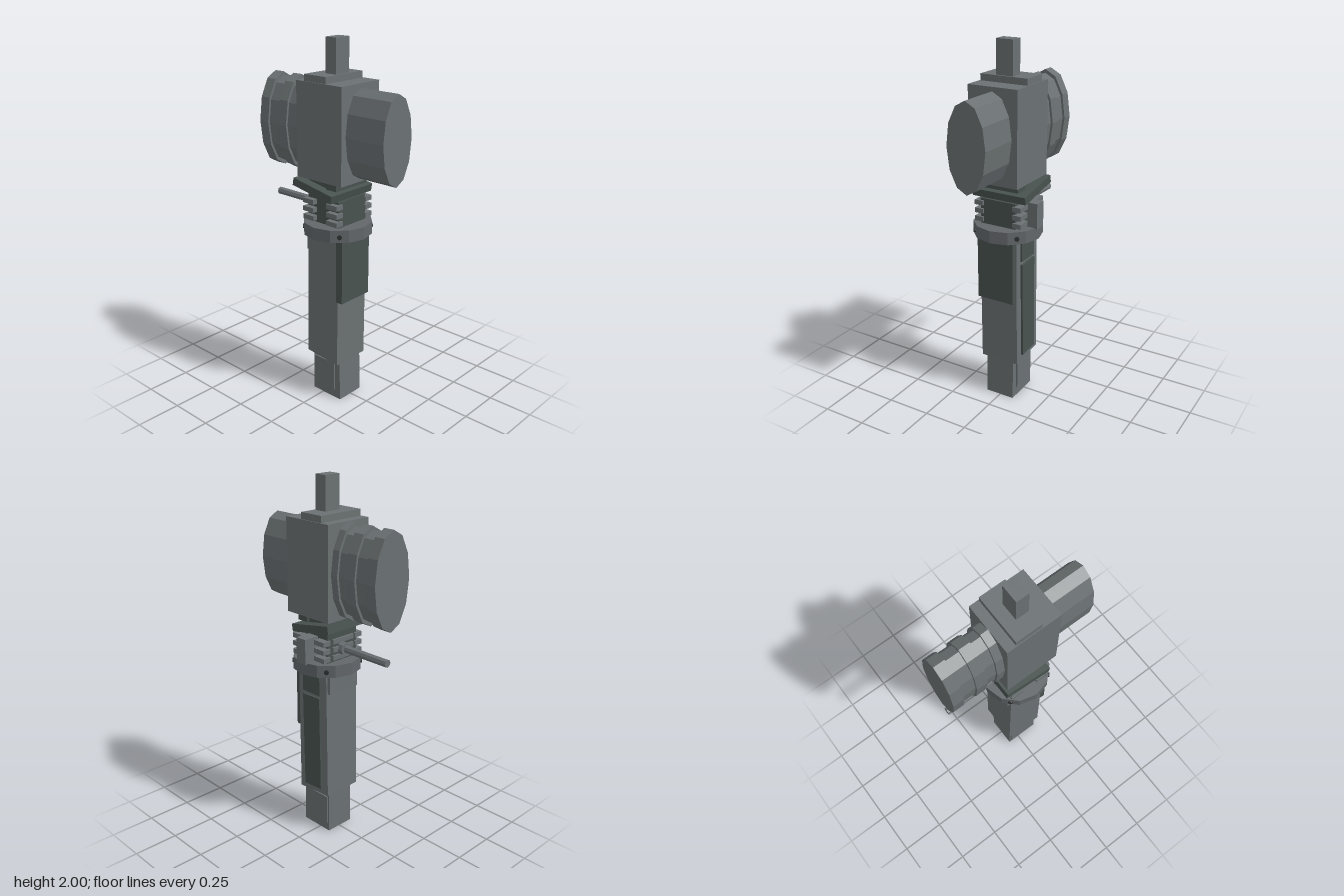
import * as THREE from 'three';

const mat = (name, color) => {
  const m = new THREE.MeshStandardMaterial({ color, flatShading: true });
  m.name = name;
  return m;
};

export function createModel() {
  const root = new THREE.Group();
  root.name = 'model';
  const steel = mat('steel grey', 0x6b7173);
  const dark = mat('dark green grey', 0x48524f);
  const ringGrey = mat('ring grey', 0x63676a);
  const black = mat('bolt black', 0x2c302f);

  const add = (name, geo, m) => {
    const mesh = new THREE.Mesh(geo, m);
    mesh.name = name;
    root.add(mesh);
    return mesh;
  };
  // box given by its extents on each axis
  const box = (name, m, x0, x1, y0, y1, z0, z1) => add(name,
    new THREE.BoxGeometry(x1 - x0, y1 - y0, z1 - z0)
      .translate((x0 + x1) / 2, (y0 + y1) / 2, (z0 + z1) / 2), m);
  // oval twelve-sided drum lying along z
  const drum = (name, rx, ry, z0, z1) => add(name,
    new THREE.CylinderGeometry(1, 1, z1 - z0, 12).rotateX(Math.PI / 2)
      .scale(rx, ry, 1).translate(-0.003, 1.53, (z0 + z1) / 2), steel);
  // side profile of [z, y] points extruded between x0 and x1
  const profile = (name, m, pts, x0, x1) => {
    const shape = new THREE.Shape(pts.map(p => new THREE.Vector2(...p)));
    return add(name, new THREE.ExtrudeGeometry(shape, { depth: x1 - x0, bevelEnabled: false })
      .rotateY(-Math.PI / 2).translate(x1, 0, 0), m);
  };

  // head block with cap and post
  box('headBlock', steel, -0.145, 0.14, 1.28, 1.785, -0.125, 0.183);
  box('headCap', steel, -0.14, 0.135, 1.785, 1.82, -0.072, 0.075);
  box('topPost', steel, -0.053, 0.045, 1.82, 2, -0.007, 0.064);

  // front drum, and rear drum with raised bands
  drum('frontDrum', 0.111, 0.233, 0.18, 0.422);
  drum('rearDrum', 0.111, 0.235, -0.4, -0.12);
  for (const [z0, z1] of [[-0.168, -0.12], [-0.287, -0.225], [-0.423, -0.361]])
    drum('rearBand', 0.123, 0.256, z0, z1);

  // neck with tilted plate
  box('neckCore', dark, -0.11, 0.1, 1.02, 1.18, -0.08, 0.135);
  box('upperNeck', dark, -0.11, 0.1, 1.17, 1.285, -0.08, 0.08);
  box('neckFrontBlock', dark, -0.125, 0.115, 1.24, 1.28, 0.06, 0.13);
  const plate = add('tiltedPlate', new THREE.BoxGeometry(0.322, 0.042, 0.275), dark);
  plate.position.set(-0.003, 1.228, -0.005);
  plate.rotation.x = 0.18;

  // cooling fins on both sides and the back of the neck
  for (const y of [1.065, 1.11, 1.155]) {
    for (const s of [-1, 1])
      for (const z of [0.11, -0.055])
        box('neckFin', steel, s * 0.115 - 0.025, s * 0.115 + 0.025, y - 0.013, y + 0.013, z - 0.037, z + 0.037);
    box('rearFin', steel, -0.08, 0.07, y - 0.013, y + 0.013, -0.092, -0.07);
  }
  box('sideBracket', steel, 0.1, 0.19, 1.035, 1.175, -0.005, 0.062);

  // rear lever with a small collar
  add('leverRod', new THREE.CylinderGeometry(0.021, 0.021, 0.34, 8).rotateX(Math.PI / 2)
    .translate(0, 1.107, -0.24), steel);
  add('leverCollar', new THREE.CylinderGeometry(0.036, 0.036, 0.035, 8).rotateX(Math.PI / 2)
    .translate(0, 1.107, -0.1), steel);

  // twelve-sided collar with four bolts
  add('collarRing', new THREE.CylinderGeometry(0.187, 0.187, 0.068, 12)
    .translate(-0.003, 1.006, 0.032), ringGrey);
  for (let i = 0; i < 4; i++) {
    const bolt = add('collarBolt', new THREE.CylinderGeometry(0.013, 0.013, 0.012, 8)
      .rotateX(Math.PI / 2).translate(0, 0, 0.182), black);
    bolt.position.set(-0.003, 1.003, 0.032);
    bolt.rotation.y = Math.PI / 4 + i * Math.PI / 2;
  }

  // grip with front cover, side panels and back plate
  profile('grip', steel, [[0.13, 0.23], [-0.09, 0.25], [-0.078, 0.98], [0.135, 0.98]], -0.115, 0.11);
  box('frontCover', dark, -0.115, 0.103, 0.615, 0.98, 0.12, 0.163);
  profile('sidePanel', dark, [[0.083, 0.27], [-0.045, 0.28], [-0.035, 0.83], [0.093, 0.825]], 0.1, 0.122);
  profile('upperSidePanel', dark, [[0.095, 0.845], [-0.036, 0.845], [-0.035, 0.97], [0.095, 0.97]], 0.1, 0.12);
  box('backPlate', steel, -0.105, 0.1, 0.865, 0.98, -0.097, -0.07);

  // lower insert, with its side rails
  profile('lowerInsert', steel, [[0.13, 0], [-0.07, 0], [-0.07, 0.25], [0.122, 0.25]], -0.088, 0.082);
  for (const s of [-1, 1])
    box('insertRail', steel, s * 0.086 - 0.01, s * 0.086 + 0.004, 0.05, 0.22, -0.06, 0.09);
  return root;
}
